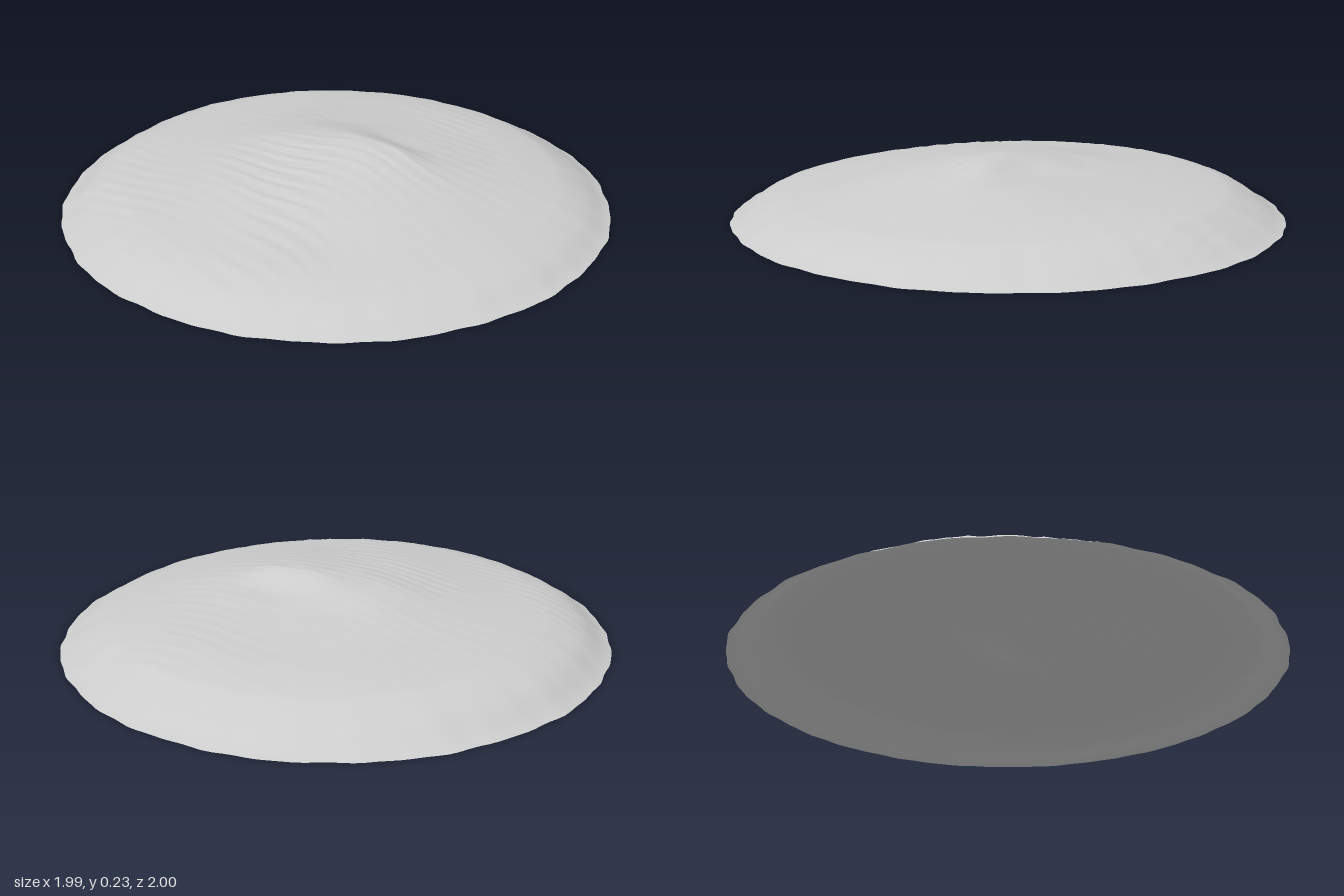
import * as THREE from 'three';

const RINGS = 90, SIDES = 180;
const PEAK = { x: 0.08, z: -0.05 };

// Slope profiles from summit to rim (distance 0..1), one per compass direction
const STOPS = [0, 0.15, 0.3, 0.5, 0.65, 0.8, 0.9, 1];
const SLOPES = [
  [0.226, 0.213, 0.184, 0.145, 0.115, 0.085, 0.052, 0], // left (+x)
  [0.226, 0.204, 0.178, 0.147, 0.12, 0.095, 0.062, 0],  // front (+z)
  [0.226, 0.208, 0.184, 0.148, 0.13, 0.113, 0.073, 0],  // right (-x)
  [0.226, 0.182, 0.157, 0.139, 0.126, 0.098, 0.05, 0],  // back (-z)
].map((heights) => new THREE.SplineCurve(heights.map((h, i) => new THREE.Vector2(STOPS[i], h))));

// Height along one slope at distance u
function slopeHeight(curve, u) {
  let i = 0;
  while (i < STOPS.length - 2 && u > STOPS[i + 1]) i++;
  const t = (u - STOPS[i]) / (STOPS[i + 1] - STOPS[i]);
  return curve.getPoint((i + t) / (STOPS.length - 1)).y;
}

const bump = (x, z, cx, cz, rx, rz) => Math.exp(-(((x - cx) / rx) ** 2) - ((z - cz) / rz) ** 2);

// Wavy, broken ripples running across the mound, strongest towards the front
function ripples(x, z) {
  const warp = 0.05 * Math.sin(3.1 * x + 2 * z) + 0.015 * Math.sin(11 * x - 5 * z);
  const patch = 0.6 + 0.4 * Math.sin(6 * x + 1.7 * Math.sin(7 * z));
  const strength = 0.0007 + 0.0014 * THREE.MathUtils.smoothstep(z, -0.3, 0.5);
  return strength * patch * (Math.sin(100 * (z + warp)) + 0.5 * Math.sin(163 * (z + warp * 1.4) + 4 * x));
}

function height(x, z, u, angle) {
  const quarter = (angle / (Math.PI / 2)) % 4;
  const k = Math.floor(quarter);
  const t = THREE.MathUtils.smoothstep(quarter - k, 0, 1);
  const base = THREE.MathUtils.lerp(slopeHeight(SLOPES[k], u), slopeHeight(SLOPES[(k + 1) % 4], u), t);
  const fade = THREE.MathUtils.smoothstep(1 - u, 0, 0.12);
  // Summit crest, and hollows behind and beside it
  const relief = 0.008 * bump(x, z, 0.2, -0.09, 0.12, 0.04)
    - 0.012 * bump(x, z, 0.18, -0.2, 0.13, 0.07)
    - 0.008 * bump(x, z, -0.17, -0.2, 0.1, 0.1)
    - 0.006 * bump(x, z, 0.35, 0.45, 0.25, 0.12)
    + 0.006 * bump(x, z, -0.2, 0.08, 0.16, 0.08);
  return base + fade * (relief * Math.min(1, u * 6) + ripples(x, z));
}

// Open shell built from rings around the summit
function moundGeometry() {
  const positions = [PEAK.x, 0.226, PEAK.z], index = [];
  for (let r = 1; r <= RINGS; r++) {
    const u = r / RINGS;
    for (let s = 0; s < SIDES; s++) {
      const a = (s / SIDES) * Math.PI * 2;
      // Slightly ragged rim
      const rim = 0.993 + 0.004 * Math.sin(19 * a) * Math.sin(7 * a + 1) + 0.002 * Math.sin(43 * a);
      const x = PEAK.x * (1 - u) + Math.cos(a) * rim * u;
      const z = PEAK.z * (1 - u) + Math.sin(a) * (rim + 0.004) * u;
      positions.push(x, height(x, z, u, a), z);
    }
  }
  const at = (r, s) => 1 + (r - 1) * SIDES + (s % SIDES);
  for (let s = 0; s < SIDES; s++) {
    index.push(0, at(1, s + 1), at(1, s));
    for (let r = 1; r < RINGS; r++) {
      const a = at(r, s), b = at(r + 1, s), c = at(r + 1, s + 1), d = at(r, s + 1);
      index.push(a, c, b, a, d, c);
    }
  }
  const geometry = new THREE.BufferGeometry();
  geometry.setAttribute('position', new THREE.Float32BufferAttribute(positions, 3));
  geometry.setIndex(index);
  geometry.computeVertexNormals();
  return geometry;
}

export function createModel() {
  const group = new THREE.Group();
  group.name = 'sandMound';
  const material = new THREE.MeshStandardMaterial({ color: 0xcccccc, side: THREE.DoubleSide });
  const mound = new THREE.Mesh(moundGeometry(), material);
  mound.name = 'moundSurface';
  group.add(mound);
  return group;
}
